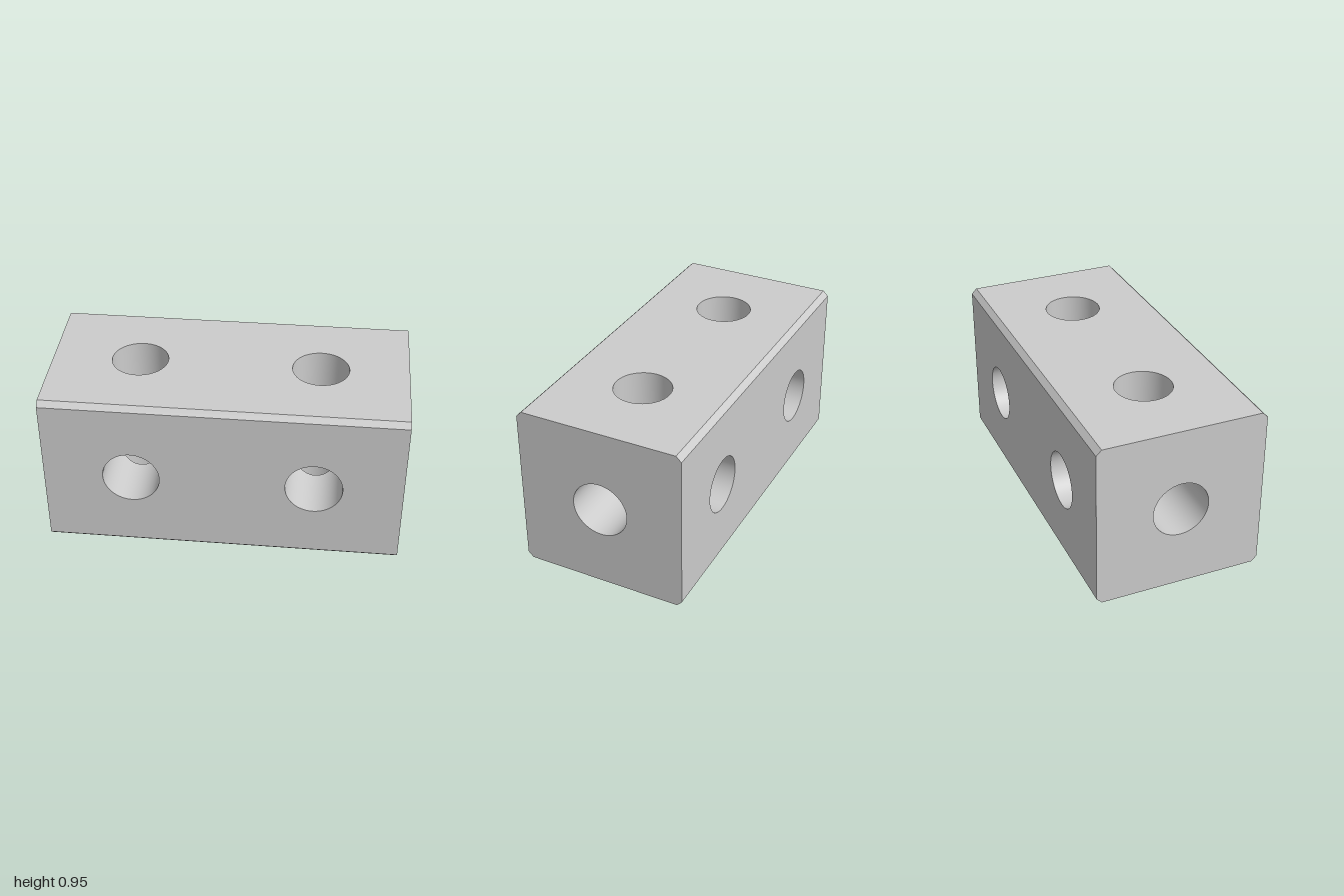
import * as THREE from 'three';
import { mergeGeometries } from 'three/addons/utils/BufferGeometryUtils.js';

const HALF_LENGTH = 1, HALF = 0.476, CHAMFER = 0.03;
const RADIUS = 0.159, HOLE_X = 0.508, SEGMENTS = 64;

// Flat panel from a closed outline, with round holes at the given x offsets
function panel(points, holeXs) {
  const shape = new THREE.Shape(points.map(([x, y]) => new THREE.Vector2(x, y)));
  for (const x of holeXs) shape.holes.push(new THREE.Path().absarc(x, 0, RADIUS, 0, Math.PI * 2, true));
  return new THREE.ShapeGeometry(shape, SEGMENTS / 2);
}

// Inward-facing bore along +y; its inner rim is cut where it meets the crossing bores
function boreArm(length) {
  const geometry = new THREE.LatheGeometry(
    [new THREE.Vector2(RADIUS, length), new THREE.Vector2(RADIUS, 0)], SEGMENTS);
  const p = geometry.attributes.position;
  for (let i = 0; i < p.count; i++) {
    if (p.getY(i) === 0) p.setY(i, Math.max(Math.abs(p.getX(i)), Math.abs(p.getZ(i))));
  }
  return geometry;
}

export function createModel() {
  const group = new THREE.Group();
  const material = new THREE.MeshStandardMaterial({ color: 0xcccccc });
  const add = (name, geometries) => {
    const mesh = new THREE.Mesh(mergeGeometries(geometries), material);
    mesh.name = name;
    mesh.position.y = HALF;
    group.add(mesh);
  };
  const inner = HALF - CHAMFER;

  // Four long faces with two holes each, and the chamfers between them
  const sides = [], chamfers = [];
  const outline = [[-HALF_LENGTH, -inner], [HALF_LENGTH, -inner], [HALF_LENGTH, inner], [-HALF_LENGTH, inner]];
  for (let i = 0; i < 4; i++) {
    const turn = i * Math.PI / 2;
    sides.push(panel(outline, [-HOLE_X, HOLE_X]).translate(0, 0, HALF).rotateX(turn));
    chamfers.push(new THREE.PlaneGeometry(HALF_LENGTH * 2, CHAMFER * Math.SQRT2)
      .translate(0, 0, (HALF + inner) / Math.SQRT2).rotateX(turn + Math.PI / 4));
  }
  add('sideFaces', sides);
  add('chamfers', chamfers);

  // Octagonal end faces
  const octagon = [[-inner, -HALF], [inner, -HALF], [HALF, -inner], [HALF, inner],
    [inner, HALF], [-inner, HALF], [-HALF, inner], [-HALF, -inner]];
  add('endFaces', [-1, 1].map((s) =>
    panel(octagon, [0]).translate(0, 0, HALF_LENGTH).rotateY(s * Math.PI / 2)));

  // Two junctions, each with four cross bores and two arms of the lengthwise bore
  for (const s of [-1, 1]) {
    const arms = [];
    for (let i = 0; i < 4; i++) arms.push(boreArm(HALF).rotateX(i * Math.PI / 2));
    arms.push(boreArm(HALF_LENGTH - HOLE_X).rotateZ(-s * Math.PI / 2));
    arms.push(boreArm(HOLE_X).rotateZ(s * Math.PI / 2));
    add(s > 0 ? 'leftBores' : 'rightBores', arms.map((g) => g.translate(s * HOLE_X, 0, 0)));
  }
  return group;
}
